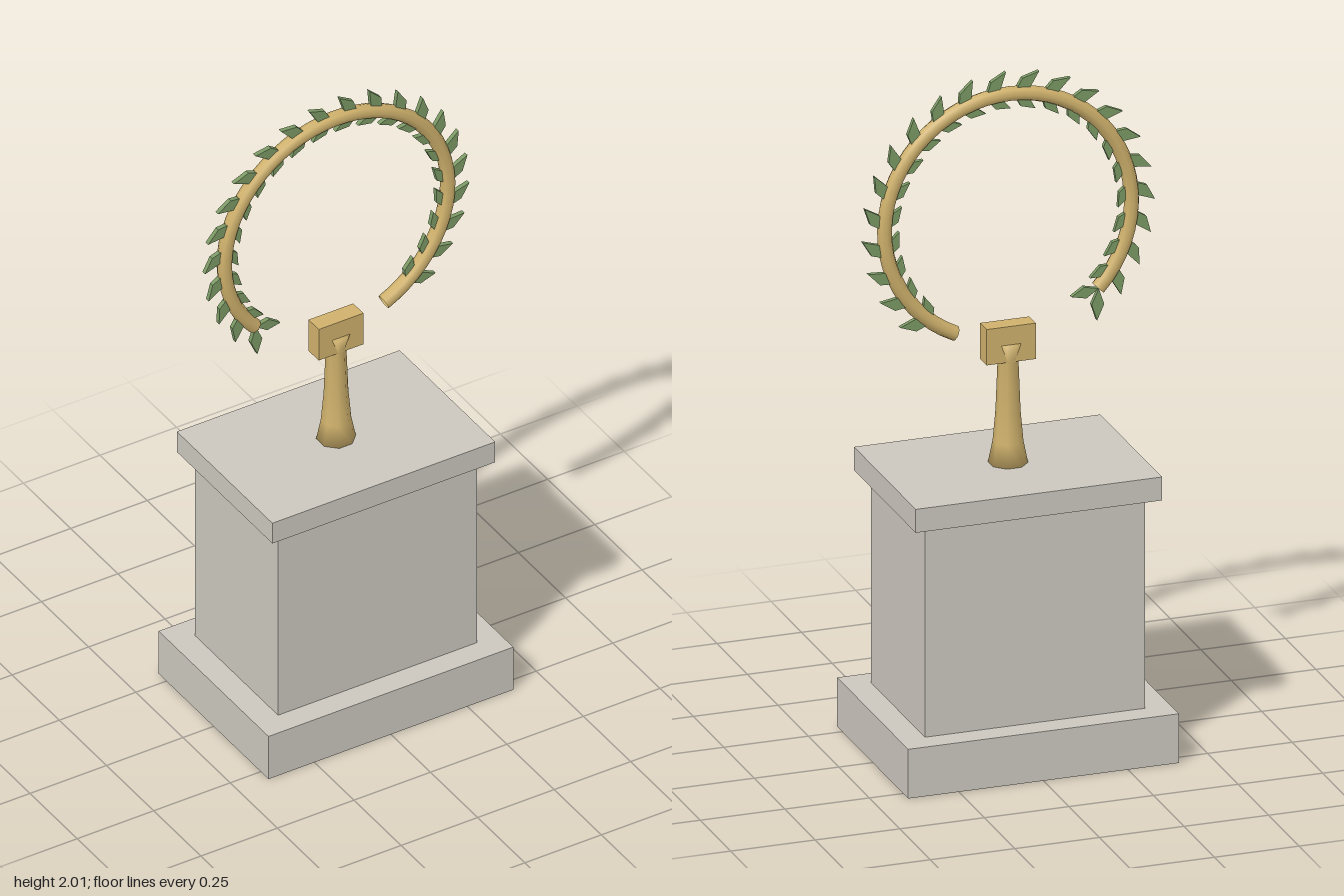
import * as THREE from 'three';

const stone = new THREE.MeshStandardMaterial({ color: 0xcbc7be });
const gold = new THREE.MeshStandardMaterial({ color: 0xcfb16c, side: THREE.DoubleSide });
const green = new THREE.MeshStandardMaterial({ color: 0x7a9864 });

function add(parent, name, geometry, material, y = 0) {
  const mesh = new THREE.Mesh(geometry, material);
  mesh.name = name;
  mesh.position.y = y;
  parent.add(mesh);
  return mesh;
}

// Box standing between two heights
function block(parent, name, width, depth, y0, y1, material) {
  return add(parent, name, new THREE.BoxGeometry(width, y1 - y0, depth), material, (y0 + y1) / 2);
}

// Flat diamond leaf growing along +x from its base at the origin
function leafGeometry(length, width, thickness) {
  const shape = new THREE.Shape([
    new THREE.Vector2(0, 0),
    new THREE.Vector2(length * 0.5, -width / 2),
    new THREE.Vector2(length, 0),
    new THREE.Vector2(length * 0.5, width / 2),
  ]);
  return new THREE.ExtrudeGeometry(shape, { depth: thickness, bevelEnabled: false })
    .translate(0, 0, -thickness / 2);
}

export function createModel() {
  const model = new THREE.Group();

  // Stone pedestal
  const pedestal = new THREE.Group();
  pedestal.name = 'pedestal';
  model.add(pedestal);
  block(pedestal, 'plinth', 0.8, 0.582, 0, 0.147, stone);
  block(pedestal, 'shaft', 0.65, 0.44, 0.147, 0.775, stone);
  block(pedestal, 'cap', 0.728, 0.506, 0.775, 0.845, stone);

  // Eight-sided flared stem, flats facing front and sides
  const profile = [
    [0, 0.845], [0.056, 0.845], [0.043, 0.91], [0.035, 1.0],
    [0.029, 1.155], [0.043, 1.205], [0, 1.205],
  ].map(([r, y]) => new THREE.Vector2(r, y));
  add(model, 'stem', new THREE.LatheGeometry(profile, 8).rotateY(Math.PI / 8), gold);

  // Holder block at the top of the stem
  block(model, 'holder', 0.146, 0.054, 1.153, 1.26, gold);

  // Open wreath ring with pairs of leaves
  const wreath = new THREE.Group();
  wreath.name = 'wreath';
  wreath.position.y = 1.58;
  model.add(wreath);
  const radius = 0.365, arc = Math.PI * 1.6, start = -Math.PI * 0.36;
  add(wreath, 'ring', new THREE.TorusGeometry(radius, 0.022, 8, 48, arc).rotateZ(start), gold);

  const outer = leafGeometry(0.095, 0.037, 0.014);
  const inner = leafGeometry(0.082, 0.035, 0.014);
  const pairs = 22;
  for (let i = 1; i <= pairs; i++) {
    const a = start + (arc * i) / pairs;
    for (const [name, geometry, lean] of [['outerLeaf', outer, -0.7], ['innerLeaf', inner, 0.63]]) {
      const leaf = add(wreath, name, geometry, green);
      leaf.position.set(radius * Math.cos(a), radius * Math.sin(a), 0);
      leaf.rotation.z = a + Math.PI / 2 + lean;
    }
  }
  return model;
}
